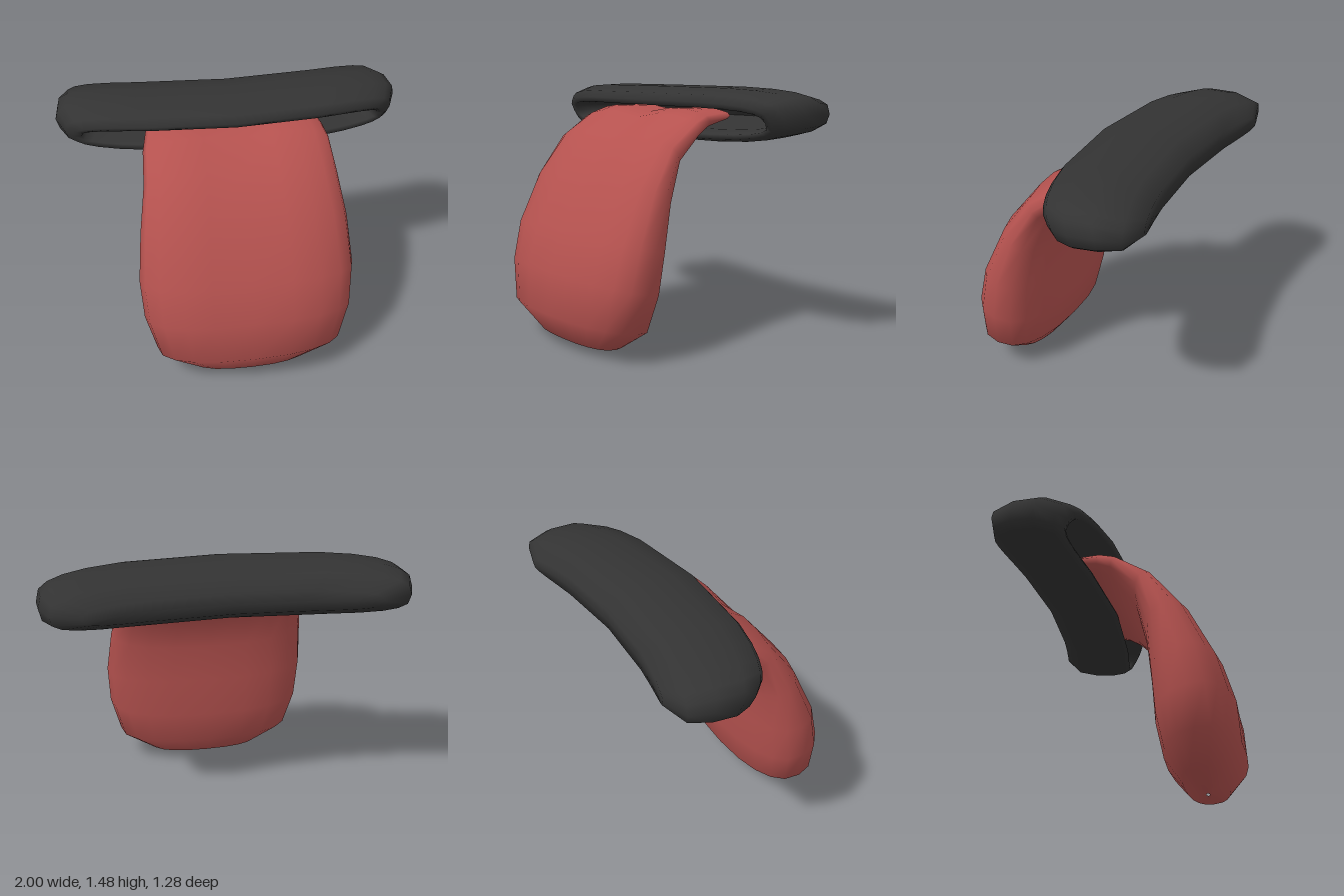
import * as THREE from 'three';

// Skins a list of closed rings (arrays of Vector3, equal length) with smooth normals.
function skin(rings) {
  const n = rings[0].length, pos = [], index = [];
  rings.forEach((ring) => ring.forEach((p) => pos.push(p.x, p.y, p.z)));
  for (let r = 0; r < rings.length - 1; r++) {
    for (let i = 0; i < n; i++) {
      const a = r * n + i, b = r * n + (i + 1) % n;
      index.push(a, b, b + n, a, b + n, a + n);
    }
  }
  const g = new THREE.BufferGeometry();
  g.setAttribute('position', new THREE.Float32BufferAttribute(pos, 3));
  g.setIndex(index);
  g.computeVertexNormals();
  return g;
}

const power = (v, e) => Math.sign(v) * Math.abs(v) ** e;

// Squashed oval ring between a top and a bottom point [z, y].
function oval(halfWidth, top, bottom, count, ex, ey) {
  const ring = [];
  for (let i = 0; i < count; i++) {
    const t = (i / count) * Math.PI * 2;
    const s = power(Math.sin(t), ey);
    const k = (s + 1) / 2;
    ring.push(new THREE.Vector3(
      halfWidth * power(Math.cos(t), ex),
      THREE.MathUtils.lerp(bottom[1], top[1], k),
      THREE.MathUtils.lerp(bottom[0], top[0], k)));
  }
  return ring;
}

function part(name, geometry, color) {
  const mesh = new THREE.Mesh(geometry, new THREE.MeshStandardMaterial({ color }));
  mesh.name = name;
  return mesh;
}

// Wide lips: outer shell from the back, round the rim, then into the cavity.
function createLips() {
  // half width, top y, bottom y, top z, bottom z
  const sections = [
    [0.62, 1.32, 1.32, -0.54, -0.54],
    [0.78, 1.375, 1.265, -0.54, -0.54],
    [0.94, 1.45, 1.215, -0.46, -0.45],
    [0.99, 1.48, 1.195, -0.3, -0.34],
    [1.0, 1.475, 1.185, -0.14, -0.22],
    [0.95, 1.44, 1.175, -0.02, -0.15],
    [0.9, 1.4, 1.19, 0.01, -0.11],
    [0.86, 1.37, 1.215, -0.01, -0.12],
    [0.83, 1.37, 1.24, -0.15, -0.2],
    [0.7, 1.36, 1.25, -0.38, -0.38],
    [0.5, 1.31, 1.31, -0.42, -0.42],
  ];
  const rings = sections.map(([w, yt, yb, zt, zb]) => {
    const ring = oval(w, [zt, yt], [zb, yb], 24, 0.45, 0.62);
    ring.forEach((p) => { p.z -= 0.165 * p.x * p.x; }); // ends sweep backwards
    return ring;
  });
  return part('lips', skin(rings), 0x333333);
}

// Tongue: ovals along a drooping path, with a centre groove fading to the tip.
function createTongue() {
  // half width, upper point [z, y], lower point [z, y], groove depth
  const sections = [
    [0.48, [-0.3, 1.36], [-0.3, 1.27], 0.03],
    [0.51, [-0.1, 1.365], [-0.14, 1.22], 0.04],
    [0.53, [0, 1.335], [-0.06, 1.17], 0.04],
    [0.545, [0.2, 1.22], [0.065, 1.035], 0.035],
    [0.585, [0.4, 0.98], [0.115, 0.83], 0.03],
    [0.613, [0.555, 0.68], [0.135, 0.6], 0.025],
    [0.6, [0.62, 0.46], [0.15, 0.36], 0.015],
    [0.54, [0.635, 0.22], [0.19, 0.16], 0],
    [0.34, [0.53, 0.06], [0.28, 0.045], 0],
    [0.02, [0.42, 0.005], [0.4, 0.005], 0],
  ];
  const rings = sections.map(([w, top, bottom, groove]) => {
    const ring = oval(w, top, bottom, 20, 0.85, 0.8);
    const down = new THREE.Vector3(0, bottom[1] - top[1], bottom[0] - top[0]).normalize();
    ring.forEach((p, i) => {
      if (i < 10) p.addScaledVector(down, groove * Math.exp(-((p.x / 0.15) ** 2)));
    });
    return ring;
  });
  return part('tongue', skin(rings), 0xb5524f);
}

export function createModel() {
  const model = new THREE.Group();
  model.name = 'mouth';
  model.add(createLips(), createTongue());
  return model;
}
